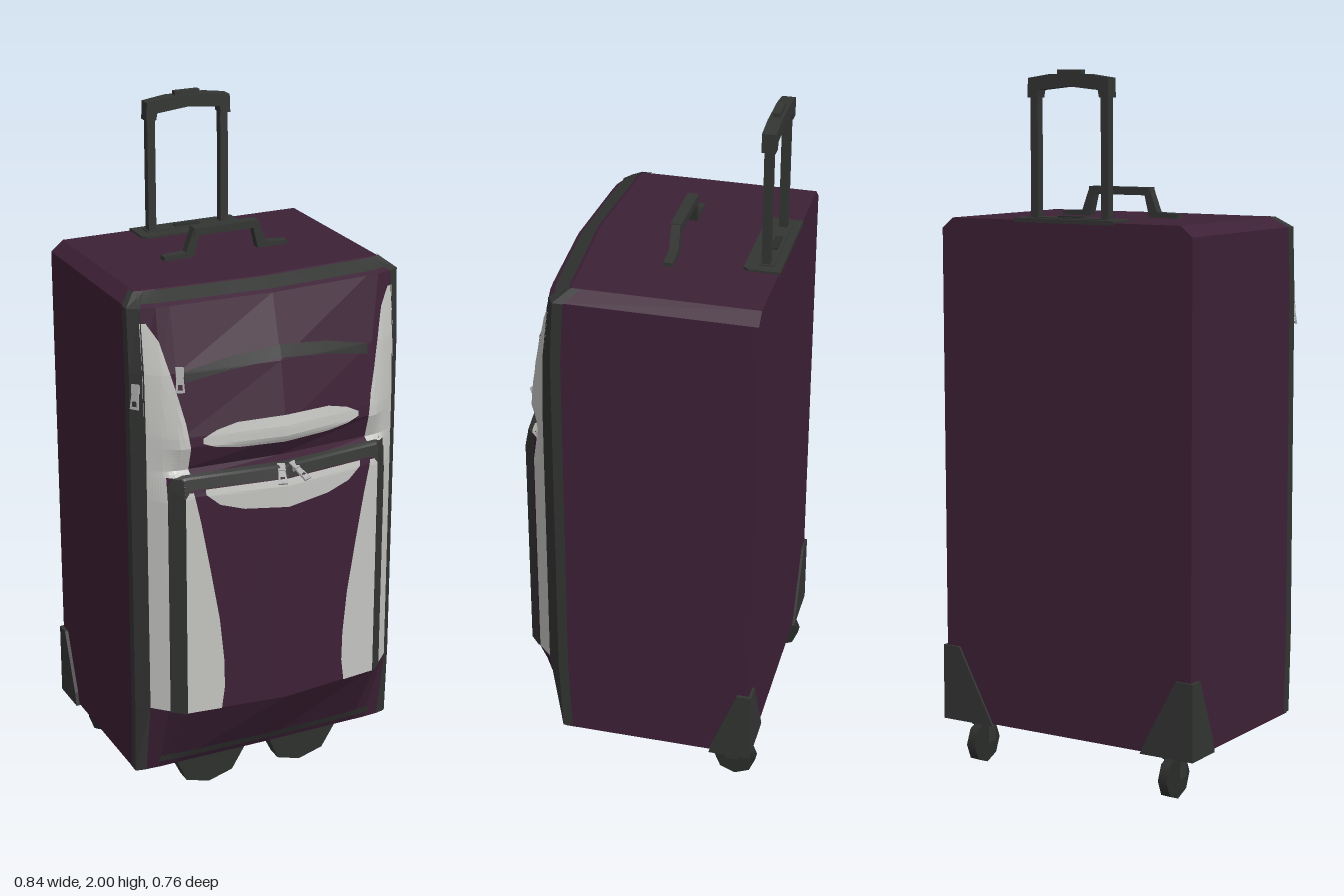
import * as THREE from 'three';

const mat = (name, color, side = THREE.FrontSide) => {
  const m = new THREE.MeshStandardMaterial({ color, side });
  m.name = name;
  return m;
};

// Front face: for each height, the depth at x = 0.41, 0.385, 0.34, 0.30, 0
const XS = [0.41, 0.385, 0.34, 0.3, 0];
const ROWS = [
  [1.59, 0.15, 0.155, 0.155, 0.157, 0.175],
  [1.56, 0.19, 0.205, 0.22, 0.224, 0.24],
  [1.38, 0.2, 0.225, 0.25, 0.265, 0.295],
  [1.2, 0.2, 0.23, 0.265, 0.29, 0.33],
  [1.17, 0.2, 0.23, 0.265, 0.292, 0.33],
  [1.1, 0.2, 0.23, 0.262, 0.272, 0.29],
  [1.085, 0.2, 0.23, 0.265, 0.3, 0.335],
  [1.03, 0.2, 0.23, 0.275, 0.31, 0.347],
  [0.36, 0.2, 0.23, 0.275, 0.31, 0.345],
  [0.135, 0.19, 0.195, 0.198, 0.198, 0.2],
];
const BACK = -0.365;
const widthAt = (y) => (y > 1.56 ? 1 - ((y - 1.56) / 0.03) * 0.09 : 1);

function frontZ(x, y) {
  let r = 0;
  while (r < ROWS.length - 2 && y < ROWS[r + 1][0]) r++;
  const a = ROWS[r], b = ROWS[r + 1];
  const t = THREE.MathUtils.clamp((a[0] - y) / (a[0] - b[0]), 0, 1);
  const ax = Math.min(Math.abs(x) / widthAt(y), 0.41);
  let k = 0;
  while (k < 3 && ax < XS[k + 1]) k++;
  const u = (XS[k] - ax) / (XS[k] - XS[k + 1]);
  const z = (row) => THREE.MathUtils.lerp(row[k + 1], row[k + 2], u);
  return THREE.MathUtils.lerp(z(a), z(b), t);
}

// Grid surface from a point rule, with flat facets
function sheet(nu, nv, point) {
  const pos = [], idx = [];
  for (let j = 0; j <= nv; j++) for (let i = 0; i <= nu; i++) pos.push(...point(i, j));
  for (let j = 0; j < nv; j++) for (let i = 0; i < nu; i++) {
    const a = j * (nu + 1) + i, b = a + nu + 1;
    idx.push(a, b, a + 1, a + 1, b, b + 1);
  }
  const g = new THREE.BufferGeometry();
  g.setAttribute('position', new THREE.Float32BufferAttribute(pos, 3));
  g.setIndex(idx);
  const flat = g.toNonIndexed();
  flat.computeVertexNormals();
  return flat;
}

// Thin panel lying on the front face between two edges: [ax, ay, bx, by] pairs
function drape(pairs, mirror = 1, lift = 0.006, across = 8, steps = 10) {
  return sheet(across, (pairs.length - 1) * steps, (i, j) => {
    const s = Math.min(Math.floor(j / steps), pairs.length - 2);
    const t = j / steps - s, w = i / across;
    const [ax, ay, bx, by] = pairs[s].map((v, n) => THREE.MathUtils.lerp(v, pairs[s + 1][n], t));
    const x = THREE.MathUtils.lerp(ax, bx, w) * mirror, y = THREE.MathUtils.lerp(ay, by, w);
    return [x, y, frontZ(x, y) + lift];
  });
}

const polygon = (pts) => new THREE.Shape(pts.map(([x, y]) => new THREE.Vector2(x, y)));
function slab(pts, depth) {
  const g = new THREE.ExtrudeGeometry(polygon(pts), { depth, bevelEnabled: false });
  return g.translate(0, 0, -depth / 2);
}

export function createModel() {
  const root = new THREE.Group();
  root.name = 'suitcase';
  const fabric = mat('plum fabric', 0x3d2136);
  const trim = mat('charcoal trim', 0x333533, THREE.DoubleSide);
  const panel = mat('light grey panel', 0xc4c4c1, THREE.DoubleSide);
  const metal = mat('zip metal', 0xa9a9a9);
  const black = mat('dark rubber', 0x2b2d2b);

  const add = (name, geo, m, parent = root) => {
    const mesh = new THREE.Mesh(geo, m);
    mesh.name = name;
    parent.add(mesh);
    return mesh;
  };
  const box = (name, w, h, d, x, y, z, m, parent = root) =>
    add(name, new THREE.BoxGeometry(w, h, d).translate(x, y, z), m, parent);

  // Body: stacked rings closed at the top and bottom
  const cols = [...XS.map((x) => -x), ...XS.slice(0, 4).reverse()];
  const n = ROWS.length;
  add('body', sheet(cols.length + 2, n + 1, (i, j) => {
    const y = ROWS[THREE.MathUtils.clamp(j - 1, 0, n - 1)][0], w = widthAt(y);
    if (j === 0 || j === n + 1) return [0, y, -0.1];
    if (i === 0 || i === cols.length + 2) return [-0.41 * w, y, BACK];
    if (i === cols.length + 1) return [0.41 * w, y, BACK];
    const x = cols[i - 1] * w;
    return [x, y, frontZ(x, y)];
  }), fabric);

  // Piping along the top and bottom of the front
  add('topPiping', drape([[-0.37, 1.589, -0.38, 1.568], [0, 1.589, 0, 1.568], [0.37, 1.589, 0.38, 1.568]]), trim);
  add('bottomPiping', drape([[-0.34, 0.185, -0.35, 0.16], [0.34, 0.185, 0.35, 0.16]]), trim);

  for (const s of [1, -1]) {
    const side = s > 0 ? 'left' : 'right';
    // Piping wrapped round the vertical front corner
    const ys = [1.59, 1.56, 1.38, 1.2, 0.36, 0.14];
    add(side + 'Piping', sheet(2, ys.length - 1, (i, j) => {
      const y = ys[j], w = widthAt(y), z = frontZ(0.41 * w, y);
      return [
        [s * (0.41 * w + 0.004), y, z - 0.025],
        [s * (0.41 * w + 0.004), y, z + 0.004],
        [s * 0.382 * w, y, frontZ(0.382 * w, y) + 0.007],
      ][i];
    }), trim);

    // Light side panels
    add(side + 'UpperPanel', drape([
      [0.386, 1.52, 0.37, 1.52], [0.386, 1.47, 0.34, 1.47], [0.386, 1.34, 0.308, 1.34],
      [0.386, 1.24, 0.285, 1.24], [0.386, 1.17, 0.275, 1.17], [0.386, 1.085, 0.275, 1.085],
    ], s), panel);
    add(side + 'OuterStrip', drape([[0.386, 1.085, 0.338, 1.085], [0.386, 0.362, 0.338, 0.362]], s), panel);
    add(side + 'PocketPanel', drape([
      [0.3, 1.045, 0.275, 1.045], [0.3, 0.95, 0.255, 0.95], [0.3, 0.81, 0.23, 0.81],
      [0.3, 0.65, 0.203, 0.65], [0.3, 0.52, 0.19, 0.52], [0.3, 0.43, 0.188, 0.43], [0.3, 0.362, 0.197, 0.362],
    ], s), panel);

    // Rear corner guard
    const guard = add(side + 'GuardSide', slab([[0.37, 0.13], [0.25, 0.13], [0.26, 0.17], [0.33, 0.35], [0.37, 0.35]], 0.014), trim);
    guard.rotation.y = Math.PI / 2;
    guard.position.x = s * 0.413;
    add(side + 'GuardBack', slab([[0.42, 0.13], [0.25, 0.13], [0.27, 0.17], [0.365, 0.35], [0.42, 0.35]].map(([x, y]) => [x * s, y]), 0.01)
      .translate(0, 0, -0.367), trim);

    // Rear caster
    const caster = new THREE.Group();
    caster.name = side + 'Caster';
    caster.position.set(s * 0.325, 0, -0.312);
    root.add(caster);
    add('wheel', new THREE.CylinderGeometry(0.062, 0.062, 0.028, 8).rotateZ(Math.PI / 2).translate(0, 0.062, 0), black, caster);
    box('casterMount', 0.05, 0.025, 0.06, 0, 0.125, 0.01, trim, caster);
    for (const k of [-1, 1]) box('casterFork', 0.009, 0.07, 0.035, k * 0.022, 0.095, 0.008, trim, caster);

    // Front foot, narrowing downwards
    const foot = slab([[-0.118, 0.14], [-0.118, 0.125], [-0.075, 0.03], [0, 0.005], [0.075, 0.03], [0.118, 0.125], [0.118, 0.14]], 2);
    const p = foot.attributes.position;
    for (let i = 0; i < p.count; i++) p.setZ(i, Math.sign(p.getZ(i)) * (0.017 + 0.18 * p.getY(i)));
    foot.computeVertexNormals();
    add(side + 'FrontFoot', foot.translate(s * 0.152, 0, 0.12), trim);

    // Telescopic post
    box(side + 'Post', 0.024, 0.36, 0.024, s * 0.115, 1.765, -0.322, trim);

    // Carry handle foot and riser
    add(side + 'CarryHandleEnd', slab([[0.192, 1.588], [0.192, 1.602], [0.125, 1.606], [0.1, 1.672], [0.085, 1.672], [0.085, 1.65], [0.1, 1.588]]
      .map(([x, y]) => [x * s, y]), 0.026).translate(0, 0, -0.066), trim);
  }

  // Front zips and bands
  add('pocketZip', drape([
    [-0.338, 0.36, -0.3, 0.36], [-0.338, 1.06, -0.3, 1.03], [-0.325, 1.085, -0.285, 1.05],
    [-0.3, 1.093, -0.27, 1.054], [0, 1.093, 0, 1.054], [0.3, 1.093, 0.27, 1.054],
    [0.325, 1.085, 0.285, 1.05], [0.338, 1.06, 0.3, 1.03], [0.338, 0.36, 0.3, 0.36],
  ], 1, 0.009), trim);
  add('upperZip', drape([
    [-0.28, 1.385, -0.28, 1.355], [-0.15, 1.41, -0.15, 1.375], [0, 1.425, 0, 1.39],
    [0.15, 1.41, 0.15, 1.375], [0.28, 1.38, 0.28, 1.35],
  ]), trim);
  const crescent = (rows) => drape([...rows.map(([x, t, b]) => [-x, t, -x, b]), ...rows.slice(0, -1).reverse().map(([x, t, b]) => [x, t, x, b])]);
  add('upperCrescent', crescent([[0.24, 1.195, 1.18], [0.2, 1.215, 1.165], [0.14, 1.23, 1.155], [0, 1.233, 1.152]]), panel);
  add('lowerCrescent', crescent([[0.24, 1.05, 1.035], [0.2, 1.05, 1.0], [0.13, 1.05, 0.978], [0, 1.05, 0.965]]), panel);

  // Zip pulls
  const tag = polygon([[-0.009, 0], [0.009, 0], [0.013, -0.055], [-0.013, -0.055]]);
  tag.holes.push(new THREE.Path([[-0.006, -0.032], [0.006, -0.032], [0.007, -0.047], [-0.007, -0.047]].map(([x, y]) => new THREE.Vector2(x, y))));
  const tagGeo = new THREE.ExtrudeGeometry(tag, { depth: 0.005, bevelEnabled: false });
  for (const [x, y, z, tilt, turn] of [
    [-0.018, 1.078, 0.338, 1.05, -0.35], [0.022, 1.078, 0.338, 1.05, 0.45],
    [-0.295, 1.385, 0.274, 0.15, -0.3], [-0.4, 1.335, 0.218, 0.15, -0.9],
  ]) {
    const pull = new THREE.Group();
    pull.name = 'zipPull';
    pull.position.set(x, y, z);
    pull.rotation.set(-tilt, turn, 0, 'YXZ');
    root.add(pull);
    add('pullTag', tagGeo, metal, pull);
    box('slider', 0.022, 0.026, 0.014, 0, 0.002, 0, metal, pull);
  }

  // Telescopic handle grip, button and base
  add('grip', slab([
    [-0.132, 1.925], [-0.102, 1.925], [-0.098, 1.945], [0, 1.955], [0.098, 1.945], [0.102, 1.925], [0.132, 1.925],
    [0.13, 1.978], [0.06, 1.988], [-0.06, 1.988], [-0.13, 1.978],
  ], 0.038).translate(0, 0, -0.322), trim);
  box('gripButton', 0.078, 0.014, 0.02, 0, 1.993, -0.322, trim);
  add('handleBase', slab([
    [-0.163, -0.368], [0.163, -0.368], [0.163, -0.28], [0.15, -0.266], [-0.15, -0.266], [-0.163, -0.28],
  ].map(([x, z]) => [x, -z]), 0.012).rotateX(-Math.PI / 2).translate(0, 1.59, 0), trim);
  box('handleBaseInset', 0.266, 0.006, 0.042, 0, 1.596, -0.325, trim);
  box('handleBaseLatch', 0.078, 0.006, 0.02, 0, 1.6, -0.325, black);

  // Carry handle bar
  box('carryHandleBar', 0.2, 0.022, 0.032, 0, 1.663, -0.066, trim);
  return root;
}
